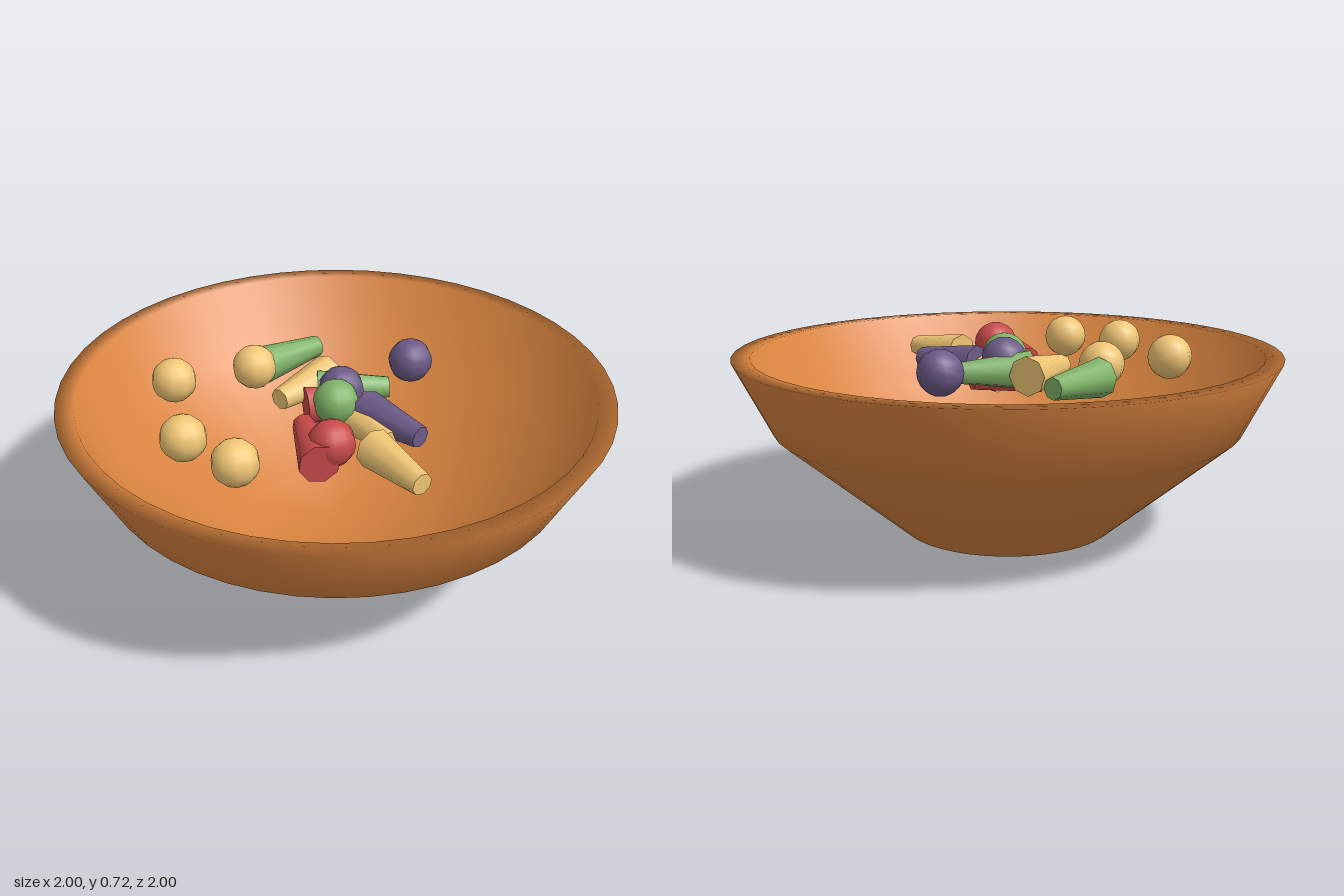
import * as THREE from 'three';

const material = (color) => new THREE.MeshStandardMaterial({ color });

const colors = {
  bowl: material(0xd9843f),
  yellow: material(0xf0c675),
  red: material(0xc94a4a),
  green: material(0x7fb367),
  purple: material(0x6c5a87),
};

// Ball pieces: colour, x, z
const balls = [
  ['yellow', -0.35, 0.09], ['yellow', -0.48, 0.37], ['yellow', -0.14, 0.59], ['yellow', 0.1, 0.56],
  ['red', 0.235, 0.25], ['green', 0.05, 0.05], ['purple', -0.005, -0.03], ['purple', 0.025, -0.37],
];

// Tapered pieces: colour, x and z of the wide end, x and z of the narrow end, height
const tapers = [
  ['green', -0.385, 0.02, -0.355, -0.238, 0.6],
  ['yellow', -0.165, -0.115, -0.145, 0.145, 0.6],
  ['green', -0.1, -0.01, 0.065, -0.2, 0.6],
  ['purple', 0.12, -0.03, 0.388, -0.03, 0.6],
  ['yellow', 0.04, 0, 0.302, 0.03, 0.57],
  ['red', -0.08, 0.078, 0.055, -0.15, 0.57],
  ['red', 0.265, 0.335, 0.04, 0.2, 0.6],
  ['yellow', 0.32, 0.135, 0.582, 0.177, 0.6],
];

function addMesh(parent, name, geometry, mat) {
  const mesh = new THREE.Mesh(geometry, mat);
  mesh.name = name;
  parent.add(mesh);
  return mesh;
}

export function createModel() {
  const model = new THREE.Group();
  model.name = 'bowlOfPieces';

  // Thick-walled bowl: outside from the base up, over the flat rim, down the inside
  const profile = [
    [0, 0], [0.4, 0], [0.867, 0.4], [1, 0.667],
    [0.933, 0.667], [0.8, 0.4], [0.333, 0.067], [0, 0.067],
  ].map(([r, y]) => new THREE.Vector2(r, y));
  addMesh(model, 'bowl', new THREE.LatheGeometry(profile, 48), colors.bowl);

  // Round pieces
  const ballGeometry = new THREE.SphereGeometry(0.0833, 10, 10);
  for (const [color, x, z] of balls) {
    addMesh(model, `${color}Ball`, ballGeometry, colors[color]).position.set(x, 0.633, z);
  }

  // Tapered pieces lying on their sides
  const taperGeometry = new THREE.CylinderGeometry(0.04, 0.073, 0.265, 8);
  const up = new THREE.Vector3(0, 1, 0);
  for (const [color, x0, z0, x1, z1, y] of tapers) {
    const piece = addMesh(model, `${color}Taper`, taperGeometry, colors[color]);
    piece.position.set((x0 + x1) / 2, y, (z0 + z1) / 2);
    piece.quaternion.setFromUnitVectors(up, new THREE.Vector3(x1 - x0, 0, z1 - z0).normalize());
  }
  return model;
}
